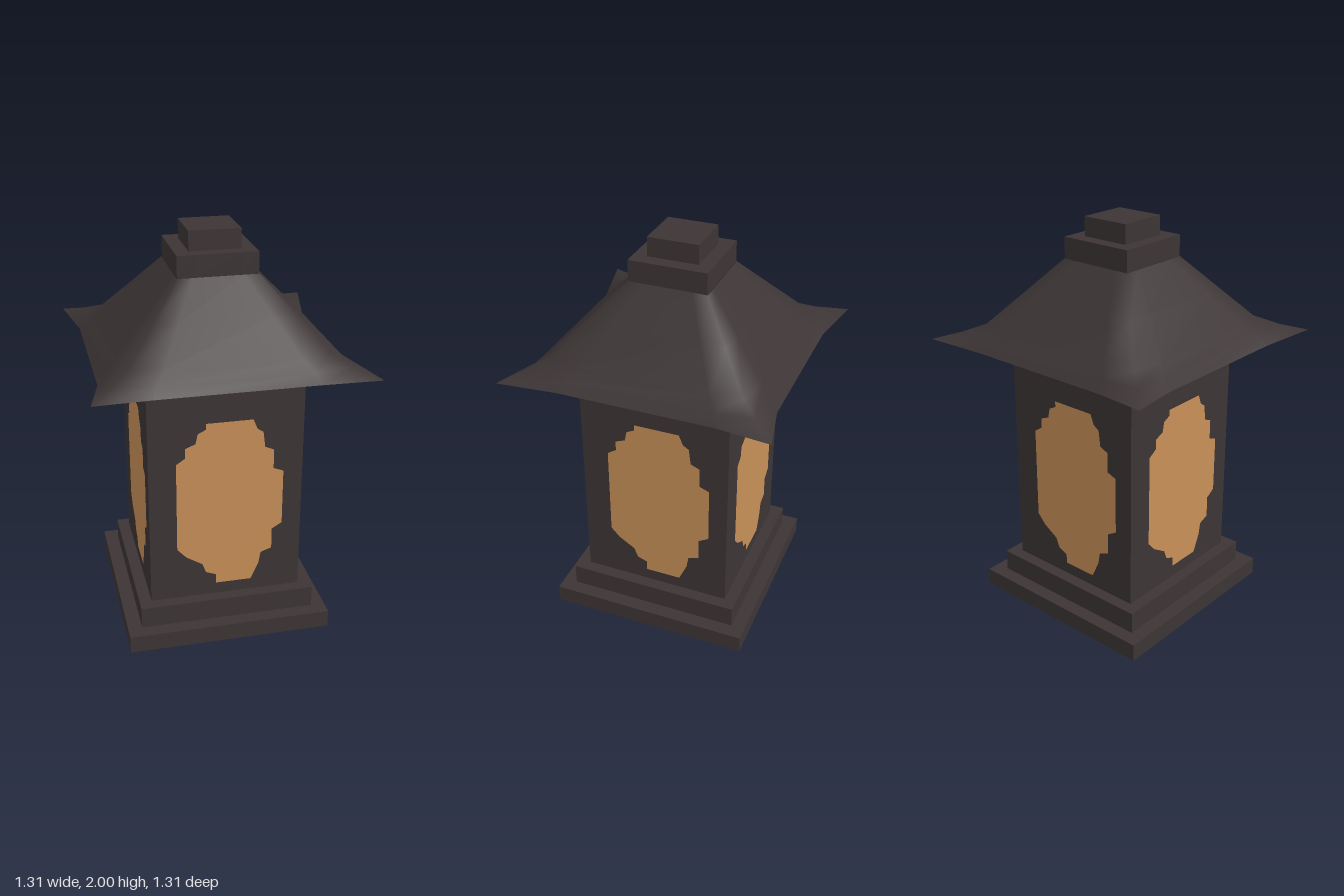
import * as THREE from 'three';

const metal = new THREE.MeshStandardMaterial({ color: 0x3d3535, side: THREE.DoubleSide });
metal.name = 'dark metal';
const glow = new THREE.MeshStandardMaterial({ color: 0xc89058, side: THREE.DoubleSide });
glow.name = 'amber glass';

// Twelve-point ring: each side has two points (mid, +-k) and one corner point
function ring(mid, midY, k, corner = mid, cornerY = midY) {
  const points = [];
  for (let q = 0; q < 4; q++) {
    const c = Math.round(Math.cos(q * Math.PI / 2)), s = Math.round(Math.sin(q * Math.PI / 2));
    for (const [x, y, z] of [[mid, midY, -k], [mid, midY, k], [corner, cornerY, corner]]) {
      points.push([x * c - z * s, y, x * s + z * c]);
    }
  }
  return points;
}

const square = ([half, y]) => ring(half, y, half * 0.6);

// Skin a stack of rings, flat or smooth
function loft(name, rings, smooth = false) {
  const n = rings[0].length, index = [];
  for (let r = 0; r < rings.length - 1; r++) {
    for (let i = 0; i < n; i++) {
      const j = (i + 1) % n;
      const a = r * n + i, b = r * n + j, c = a + n, d = b + n;
      index.push(a, c, b, b, c, d);
    }
  }
  let geometry = new THREE.BufferGeometry();
  geometry.setAttribute('position', new THREE.Float32BufferAttribute(rings.flat(2), 3));
  geometry.setIndex(index);
  if (!smooth) geometry = geometry.toNonIndexed();
  geometry.computeVertexNormals();
  const mesh = new THREE.Mesh(geometry, metal);
  mesh.name = name;
  return mesh;
}

export function createModel() {
  const model = new THREE.Group();
  model.name = 'lantern';

  // Stepped base, open underneath
  model.add(loft('base', [[0.51, 0], [0.51, 0.09], [0.44, 0.09], [0.44, 0.2], [0.38, 0.2]].map(square)));

  // Four walls with uneven window panes set flush in them
  const pane = [
    [-0.1, 1.15], [0.13, 1.15], [0.15, 1.1], [0.18, 1.08], [0.19, 1.0], [0.235, 0.98], [0.235, 0.88],
    [0.285, 0.86], [0.285, 0.57], [0.235, 0.54], [0.235, 0.43], [0.18, 0.41], [0.17, 0.35], [0.13, 0.26],
    [-0.05, 0.26], [-0.05, 0.31], [-0.1, 0.33], [-0.12, 0.38], [-0.2, 0.43], [-0.245, 0.48],
    [-0.245, 0.95], [-0.2, 0.98], [-0.2, 1.03], [-0.15, 1.05], [-0.14, 1.1], [-0.1, 1.12],
  ].map(([x, y]) => new THREE.Vector2(x, y));
  const wallShape = new THREE.Shape([[-0.38, 0.2], [0.38, 0.2], [0.38, 1.33], [-0.38, 1.33]]
    .map(([x, y]) => new THREE.Vector2(x, y)));
  wallShape.holes.push(new THREE.Path(pane));
  const wallGeometry = new THREE.ShapeGeometry(wallShape).translate(0, 0, 0.38);
  const paneGeometry = new THREE.ShapeGeometry(new THREE.Shape(pane)).translate(0, 0, 0.38);
  for (let i = 0; i < 4; i++) {
    const side = new THREE.Group();
    side.name = 'side' + (i + 1);
    const wall = new THREE.Mesh(wallGeometry, metal);
    wall.name = 'wall';
    const window = new THREE.Mesh(paneGeometry, glow);
    window.name = 'window';
    side.add(wall, window);
    side.rotation.y = i * Math.PI / 2;
    model.add(side);
  }

  // Roof with straight sides and flared, upturned corners
  const eave = ring(0.595, 1.39, 0.38, 0.655, 1.413);
  model.add(loft('eaveUnderside', [ring(0.38, 1.33, 0.37), eave]));
  model.add(loft('roof', [
    eave,
    ring(0.552, 1.436, 0.36, 0.55, 1.447),
    ring(0.503, 1.485, 0.32, 0.465, 1.485),
    ring(0.35, 1.642, 0.22, 0.33, 1.642),
    ring(0.195, 1.8, 0.12),
  ], true));

  // Stepped cap
  model.add(loft('cap', [[0.193, 1.8], [0.193, 1.905], [0.125, 1.905], [0.125, 2], [0, 2]].map(square)));

  return model;
}
